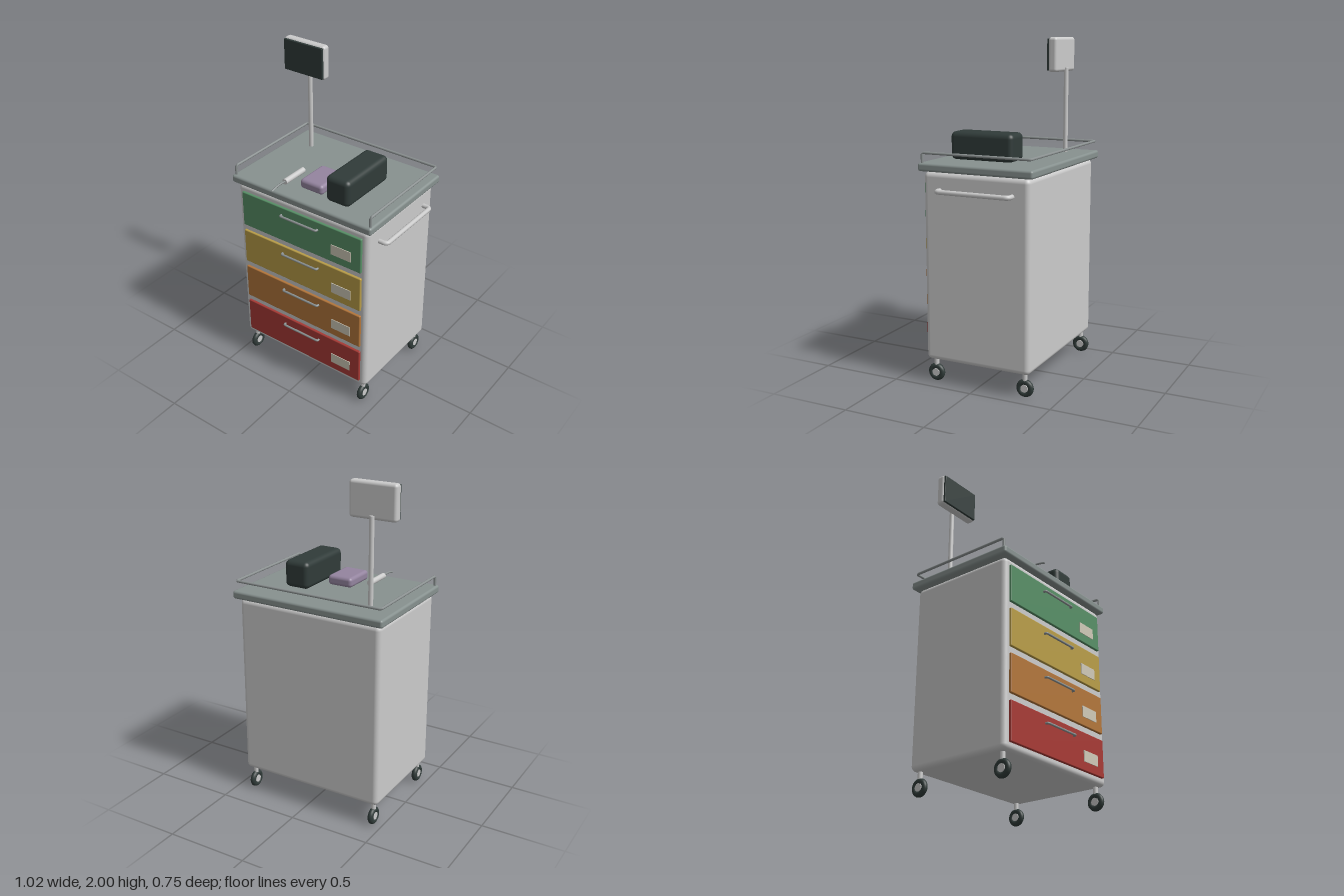
import * as THREE from 'three';
import { RoundedBoxGeometry } from 'three/addons/geometries/RoundedBoxGeometry.js';

const paint = (color) => new THREE.MeshStandardMaterial({ color });
const grey = paint(0xcccccc);
const steel = paint(0x8c9292);
const slate = paint(0x87918f);
const dark = paint(0x303b39);
const violet = paint(0x94849f);
const paper = paint(0xcfc9b8);

const V = (x, y, z) => new THREE.Vector3(x, y, z);

function add(parent, name, geometry, material, x = 0, y = 0, z = 0) {
  const mesh = new THREE.Mesh(geometry, material);
  mesh.name = name;
  mesh.position.set(x, y, z);
  parent.add(mesh);
  return mesh;
}

// Rounded box given by its extents along each axis
function block(parent, name, [x0, x1], [y0, y1], [z0, z1], radius, material) {
  const geometry = new RoundedBoxGeometry(x1 - x0, y1 - y0, z1 - z0, 4, radius);
  return add(parent, name, geometry, material, (x0 + x1) / 2, (y0 + y1) / 2, (z0 + z1) / 2);
}

// Round bar through corner points, with each corner bent to a small radius
function bar(parent, name, points, radius, bend, material) {
  const path = new THREE.CurvePath();
  let from = points[0];
  for (let i = 1; i < points.length - 1; i++) {
    const p = points[i];
    const a = p.clone().add(points[i - 1].clone().sub(p).setLength(bend));
    const b = p.clone().add(points[i + 1].clone().sub(p).setLength(bend));
    path.add(new THREE.LineCurve3(from, a));
    path.add(new THREE.QuadraticBezierCurve3(a, p, b));
    from = b;
  }
  path.add(new THREE.LineCurve3(from, points[points.length - 1]));
  return add(parent, name, new THREE.TubeGeometry(path, 160, radius, 10), material);
}

// Drawer front with pull handle and label plate
function drawer(top, color) {
  const group = new THREE.Group();
  group.name = 'drawer';
  block(group, 'drawerFront', [-0.445, 0.407], [top - 0.228, top], [0.295, 0.334], 0.006, paint(color));
  const y = top - 0.05;
  bar(group, 'drawerHandle',
    [V(-0.148, y, 0.325), V(-0.148, y, 0.35), V(0.11, y, 0.35), V(0.11, y, 0.325)],
    0.007, 0.01, steel);
  add(group, 'labelPlate', new THREE.BoxGeometry(0.136, 0.066, 0.008), paper, 0.273, top - 0.142, 0.334);
  return group;
}

// Swivel caster: stem, fork, tyre and hub
function caster(x, z) {
  const group = new THREE.Group();
  group.name = 'caster';
  group.position.set(x, 0, z);
  add(group, 'casterStem', new THREE.CylinderGeometry(0.014, 0.014, 0.06, 14), grey, 0, 0.125, 0);
  const tyre = add(group, 'tyre', new THREE.TorusGeometry(0.036, 0.017, 12, 28), dark, 0, 0.053, 0);
  tyre.rotation.y = Math.PI / 2;
  const hub = add(group, 'hub', new THREE.CylinderGeometry(0.023, 0.023, 0.03, 18), grey, 0, 0.053, 0);
  hub.rotation.z = Math.PI / 2;
  return group;
}

export function createModel() {
  const cart = new THREE.Group();
  cart.name = 'supplyCart';

  // Cabinet and worktop
  block(cart, 'cabinet', [-0.483, 0.445], [0.14, 1.255], [-0.345, 0.32], 0.03, grey);
  block(cart, 'worktop', [-0.51, 0.472], [1.258, 1.306], [-0.375, 0.342], 0.014, slate);

  // Drawers, from the top down
  [0x578f66, 0xb99d48, 0xb3763b, 0xa73a35].forEach((color, i) => {
    cart.add(drawer(1.21 - i * 0.2665, color));
  });

  // Casters
  for (const x of [-0.44, 0.4]) for (const z of [0.275, -0.302]) cart.add(caster(x, z));

  // Guard rail around three sides, bent down at the front ends
  bar(cart, 'guardRail', [
    V(-0.491, 1.295, 0.318), V(-0.491, 1.363, 0.318), V(-0.491, 1.363, -0.354),
    V(0.455, 1.363, -0.354), V(0.455, 1.363, 0.318), V(0.455, 1.295, 0.318),
  ], 0.008, 0.008, steel);

  // Push handle on the left side
  bar(cart, 'pushHandle', [
    V(0.43, 1.153, 0.212), V(0.494, 1.153, 0.212), V(0.494, 1.153, -0.242), V(0.43, 1.153, -0.242),
  ], 0.014, 0.025, grey);

  // Monitor on its pole
  add(cart, 'monitorPole', new THREE.CylinderGeometry(0.014, 0.014, 0.52, 18), grey, -0.353, 1.56, -0.215);
  block(cart, 'monitorCase', [-0.497, -0.207], [1.795, 2.0], [-0.213, -0.157], 0.018, grey);
  block(cart, 'monitorScreen', [-0.49, -0.214], [1.803, 1.992], [-0.17, -0.148], 0.004, dark);

  // Items on the worktop
  block(cart, 'equipmentCase', [0.1, 0.26], [1.305, 1.468], [-0.15, 0.25], 0.03, dark);
  block(cart, 'smallCase', [-0.098, 0.06], [1.305, 1.365], [0.01, 0.223], 0.02, violet);

  // Hand tool with a slightly curved blade
  const grip = add(cart, 'toolGrip', new THREE.CylinderGeometry(0.017, 0.017, 0.172, 18), grey, -0.18, 1.332, 0.171);
  grip.rotation.x = Math.PI / 2;
  const bladePath = new THREE.QuadraticBezierCurve3(V(-0.18, 1.332, 0.25), V(-0.18, 1.343, 0.31), V(-0.18, 1.324, 0.37));
  add(cart, 'toolBlade', new THREE.TubeGeometry(bladePath, 16, 0.006, 8), steel);

  return cart;
}
